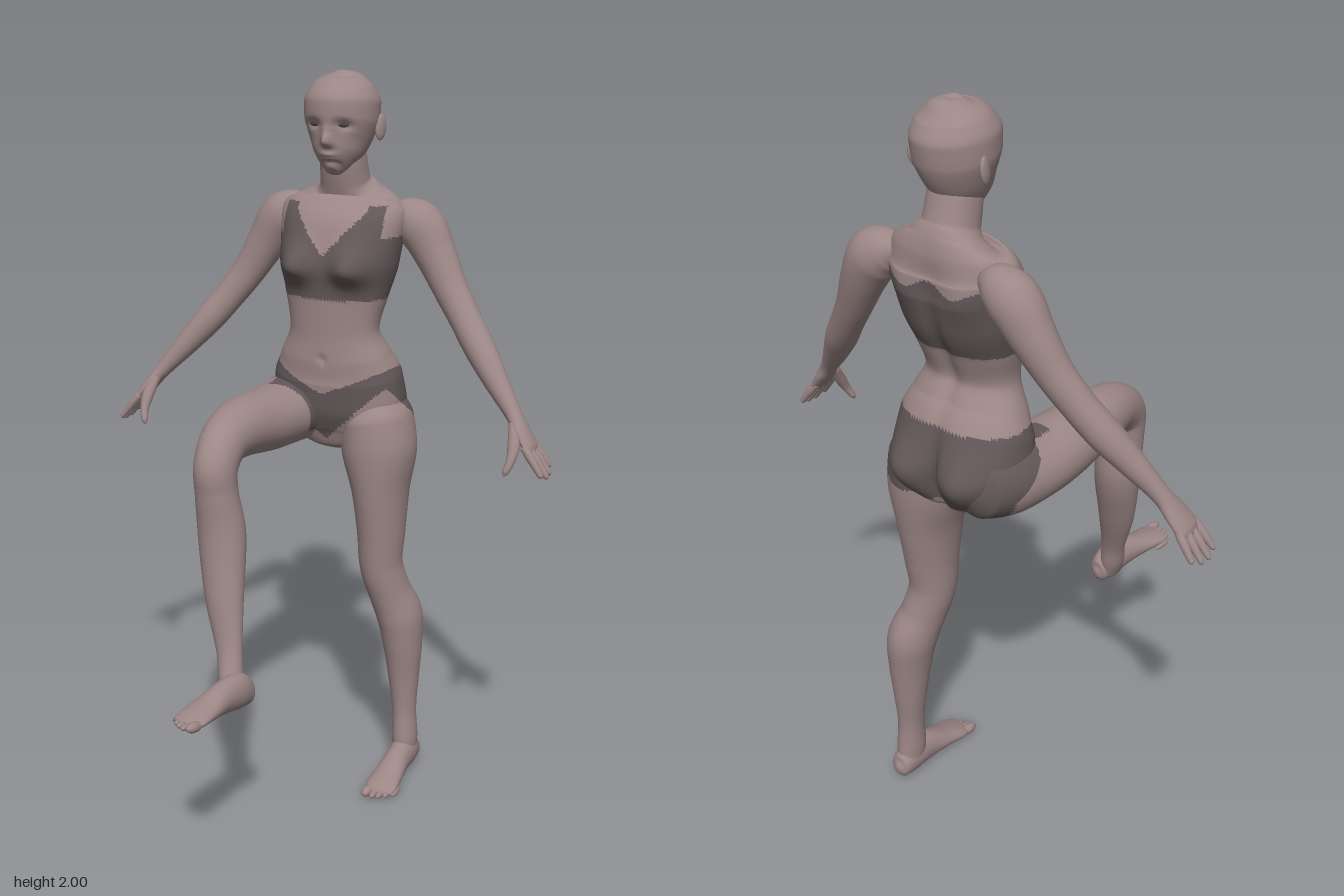
import * as THREE from 'three';

const skin = new THREE.MeshStandardMaterial({ color: 0x9c8786 });
skin.name = 'skin';
const cloth = new THREE.MeshStandardMaterial({ color: 0x625758 });
cloth.name = 'cloth';
const dark = new THREE.MeshStandardMaterial({ color: 0x4a3f40 });
dark.name = 'eyeDark';

const X = new THREE.Vector3(1, 0, 0), Z = new THREE.Vector3(0, 0, 1);

// Smooth closed skin through sections [x, y, z, halfSide, halfDepth]
function loft(name, sections, { side = X, segs = 28, steps = 6, power = 2, deform, isCloth } = {}) {
  const path = new THREE.CatmullRomCurve3(sections.map(s => new THREE.Vector3(s[0], s[1], s[2])));
  const size = new THREE.CatmullRomCurve3(sections.map(s => new THREE.Vector3(s[3], s[4], 0)));
  const rows = (sections.length - 1) * steps;
  const pts = [], idx = [];
  const pw = c => Math.sign(c) * Math.abs(c) ** (2 / power);
  for (let j = 0; j <= rows; j++) {
    const c = path.getPoint(j / rows), r = size.getPoint(j / rows), t = path.getTangent(j / rows);
    const u = side.clone().addScaledVector(t, -side.dot(t)).normalize();
    const w = t.clone().cross(u);
    for (let i = 0; i < segs; i++) {
      const a = i / segs * Math.PI * 2;
      const p = c.clone().addScaledVector(u, pw(Math.cos(a)) * r.x).addScaledVector(w, pw(Math.sin(a)) * r.y);
      if (deform) deform(p);
      pts.push(p);
    }
  }
  for (let j = 0; j < rows; j++) for (let i = 0; i < segs; i++) {
    const k = (i + 1) % segs, a = j * segs + i, b = j * segs + k;
    idx.push([a, b, a + segs], [b, b + segs, a + segs]);
  }
  // End caps
  const first = pts.length, last = first + 1, top = rows * segs;
  pts.push(path.getPoint(0), path.getPoint(1));
  for (let i = 0; i < segs; i++) {
    const k = (i + 1) % segs;
    idx.push([first, k, i], [last, top + i, top + k]);
  }
  // Sort faces into bare and clothed groups
  const bare = [], worn = [], mid = new THREE.Vector3();
  for (const f of idx) {
    mid.set(0, 0, 0);
    f.forEach(n => mid.addScaledVector(pts[n], 1 / 3));
    (isCloth && isCloth(mid) ? worn : bare).push(...f);
  }
  const g = new THREE.BufferGeometry().setFromPoints(pts);
  g.setIndex([...bare, ...worn]);
  if (worn.length) {
    g.addGroup(0, bare.length, 0);
    g.addGroup(bare.length, worn.length, 1);
  }
  g.computeVertexNormals();
  const m = new THREE.Mesh(g, worn.length ? [skin, cloth] : skin);
  m.name = name;
  return m;
}

function ball(name, mat, pos, scale) {
  const m = new THREE.Mesh(new THREE.SphereGeometry(1, 20, 14), mat);
  m.position.set(...pos);
  m.scale.set(...scale);
  m.name = name;
  return m;
}

// Soft swelling toward the front (dir 1) or back (dir -1)
function bump(v, x, y, sx, sy, amp, dir) {
  const d = (v.z + 0.345) * dir;
  if (d <= 0) return;
  v.z += dir * amp * Math.min(1, d / 0.05) * Math.exp(-(((v.x - x) / sx) ** 2) - ((v.y - y) / sy) ** 2);
}

// Outlines of the clothing
function inTop(p) {
  const a = Math.abs(p.x);
  if (p.y < 1.415) return false;
  if (p.z < -0.37) return p.y < 1.59 + 0.012 * Math.cos(a * 45);
  return p.y < (a < 0.1 ? 1.53 + a * 1.15 : a < 0.143 ? 1.66 : 1.58);
}
function inBriefs(p) {
  const a = Math.abs(p.x);
  const waist = p.z > -0.35 ? 1.155 + Math.min(a, 0.18) * 0.42 : 1.225;
  const leg = Math.min(1.02 + a * 0.95, 1.18 + (p.z + 0.28) * 0.95);
  return p.z < -0.215 && p.y < waist && p.y > leg;
}

function torso() {
  const rows = [ // y, half width, front z, back z
    [0.975, 0.02, -0.33, -0.37], [1.0, 0.09, -0.27, -0.43], [1.05, 0.15, -0.25, -0.455],
    [1.12, 0.19, -0.232, -0.465], [1.2, 0.182, -0.226, -0.452], [1.26, 0.155, -0.226, -0.42],
    [1.33, 0.126, -0.23, -0.395], [1.42, 0.144, -0.226, -0.42], [1.5, 0.163, -0.23, -0.452],
    [1.58, 0.172, -0.245, -0.466], [1.635, 0.178, -0.285, -0.465], [1.668, 0.15, -0.315, -0.458],
    [1.69, 0.1, -0.315, -0.45], [1.715, 0.066, -0.308, -0.437], [1.78, 0.06, -0.292, -0.42], [1.83, 0.05, -0.29, -0.41]];
  return loft('torso', rows.map(([y, w, f, b]) => [0, y, (f + b) / 2, w, (f - b) / 2]), {
    segs: 112, steps: 11, power: 2.2,
    isCloth: p => inTop(p) || inBriefs(p),
    deform: v => {
      for (const s of [-1, 1]) {
        bump(v, s * 0.083, 1.5, 0.055, v.y < 1.5 ? 0.042 : 0.06, 0.056, 1);
        bump(v, s * 0.095, s > 0 ? 1.09 : 1.1, 0.075, 0.08, 0.055, -1);
        bump(v, s * 0.09, 1.58, 0.05, 0.06, 0.012, -1);
      }
      bump(v, 0, 1.08, 0.02, 0.09, -0.03, -1);
      bump(v, 0, 1.4, 0.025, 0.16, -0.014, -1);
      bump(v, 0, 1.25, 0.01, 0.012, -0.008, 1);
    },
  });
}

function head() {
  const g = new THREE.Group();
  g.name = 'head';
  const rows = [ // y, half width, front z, back z
    [1.746, 0.015, -0.275, -0.3], [1.757, 0.036, -0.258, -0.34], [1.79, 0.064, -0.247, -0.385],
    [1.83, 0.083, -0.243, -0.425], [1.875, 0.098, -0.24, -0.449], [1.92, 0.1, -0.241, -0.455],
    [1.96, 0.084, -0.266, -0.437], [1.985, 0.055, -0.3, -0.407], [1.998, 0.02, -0.335, -0.37], [2.0, 0.003, -0.35, -0.356]];
  g.add(loft('skull', rows.map(([y, w, f, b]) => [0, y, (f + b) / 2, w, (f - b) / 2]), {
    segs: 72, steps: 9,
    deform: v => {
      bump(v, 0, 1.825, 0.014, v.y < 1.825 ? 0.011 : 0.03, 0.03, 1);
      bump(v, 0, 1.793, 0.022, 0.006, 0.009, 1);
      bump(v, 0, 1.781, 0.02, 0.006, 0.008, 1);
      bump(v, 0, 1.762, 0.02, 0.011, 0.006, 1);
      for (const s of [-1, 1]) bump(v, s * 0.042, 1.868, 0.021, 0.014, -0.013, 1);
    },
  }));
  for (const s of [-1, 1]) {
    const eye = ball('eye', dark, [s * 0.042, 1.869, -0.263], [0.014, 0.006, 0.004]);
    eye.rotation.y = s * 0.4;
    const ear = ball('ear', skin, [s * 0.1, 1.857, -0.37], [0.009, 0.034, 0.02]);
    ear.rotation.set(-0.15, s * -0.3, 0);
    g.add(eye, ear);
  }
  return g;
}

function arm(s) {
  const g = new THREE.Group();
  g.name = s > 0 ? 'leftArm' : 'rightArm';
  const add = (name, pts, opt) => g.add(loft(name, pts.map(p => [s * p[0], ...p.slice(1)]), { side: Z, ...opt }));
  add('armShape', [
    [0.125, 1.635, -0.41, 0.025, 0.025], [0.16, 1.625, -0.41, 0.05, 0.052], [0.205, 1.598, -0.41, 0.061, 0.066],
    [0.25, 1.53, -0.405, 0.054, 0.057], [0.3, 1.445, -0.39, 0.044, 0.047], [0.35, 1.375, -0.37, 0.041, 0.043],
    [0.4, 1.31, -0.345, 0.042, 0.042], [0.46, 1.235, -0.312, 0.034, 0.034], [0.525, 1.155, -0.28, 0.025, 0.022],
    [0.553, 1.118, -0.268, 0.035, 0.018], [0.583, 1.078, -0.257, 0.041, 0.014], [0.594, 1.062, -0.254, 0.028, 0.006]]);
  // Four fingers and a thumb
  for (let i = 0; i < 4; i++) {
    const z0 = -0.287 + i * 0.021, z1 = -0.298 + i * 0.029;
    const len = [0.82, 0.97, 1, 0.88][i];
    const at = (t, r) => [0.575 + 0.063 * t * len, 1.085 - 0.082 * t * len + 0.008 * t * (1 - t), z0 + (z1 - z0) * t, r, r];
    add('finger', [at(0, 0.01), at(0.35, 0.0115), at(0.7, 0.0095), at(0.95, 0.007), at(1, 0.002)], { segs: 12, steps: 4 });
  }
  add('thumb', [[0.535, 1.135, -0.255, 0.012, 0.012], [0.548, 1.09, -0.228, 0.017, 0.015],
    [0.548, 1.05, -0.205, 0.012, 0.012], [0.54, 1.022, -0.191, 0.009, 0.009], [0.536, 1.012, -0.187, 0.002, 0.002]], { side: X, segs: 14 });
  return g;
}

// Foot with its sole at y = 0, ankle over the origin, toes toward +z; s picks the big toe side
function foot(name, s) {
  const g = new THREE.Group();
  g.name = name;
  g.add(loft('footShape', [
    [0, 0.04, -0.06, 0.008, 0.01], [0, 0.04, -0.047, 0.028, 0.034], [0, 0.052, 0, 0.036, 0.05],
    [0, 0.048, 0.06, 0.036, 0.044], [0, 0.034, 0.125, 0.042, 0.028], [0, 0.022, 0.18, 0.046, 0.018],
    [0, 0.016, 0.205, 0.04, 0.013], [0, 0.014, 0.213, 0.02, 0.006]]));
  for (let i = 0; i < 5; i++) {
    const r = i ? 0.0095 : 0.014;
    g.add(ball('toe', skin, [-s * (0.03 - i * 0.017 - (i ? 0.003 : 0)), r + 0.002, 0.212 - i * i * 0.0022], [r, r, 0.028]));
  }
  return g;
}

function legs() {
  const g = new THREE.Group();
  g.name = 'legs';
  g.add(loft('standingLeg', [
    [0.1, 1.15, -0.345, 0.06, 0.07], [0.115, 1.08, -0.347, 0.098, 0.112], [0.125, 1.0, -0.343, 0.104, 0.113],
    [0.135, 0.865, -0.338, 0.077, 0.098], [0.14, 0.75, -0.335, 0.066, 0.08], [0.142, 0.65, -0.335, 0.06, 0.067],
    [0.16, 0.57, -0.352, 0.059, 0.066], [0.184, 0.49, -0.376, 0.064, 0.074], [0.195, 0.4, -0.381, 0.056, 0.064],
    [0.2, 0.3, -0.383, 0.045, 0.05], [0.206, 0.18, -0.381, 0.034, 0.04], [0.21, 0.1, -0.38, 0.036, 0.045],
    [0.21, 0.05, -0.383, 0.032, 0.045]], { segs: 56, steps: 10, isCloth: inBriefs }));
  g.add(loft('raisedLeg', [
    [-0.1, 1.1, -0.47, 0.03, 0.035], [-0.102, 1.096, -0.435, 0.08, 0.083], [-0.115, 1.09, -0.34, 0.105, 0.1],
    [-0.126, 1.085, -0.25, 0.106, 0.088], [-0.132, 1.088, -0.15, 0.097, 0.085], [-0.137, 1.1, 0, 0.077, 0.077],
    [-0.13, 1.085, 0.095, 0.062, 0.066], [-0.122, 1.04, 0.147, 0.056, 0.064], [-0.118, 0.975, 0.152, 0.056, 0.058],
    [-0.108, 0.87, 0.146, 0.064, 0.059], [-0.084, 0.7, 0.18, 0.053, 0.043], [-0.052, 0.56, 0.214, 0.035, 0.029],
    [-0.04, 0.5, 0.23, 0.033, 0.036], [-0.025, 0.455, 0.245, 0.03, 0.04]],
    { segs: 56, steps: 10, isCloth: p => inBriefs(p) || (p.z < -0.4 && p.y > 1.0) }));
  const standing = foot('standingFoot', 1);
  standing.position.set(0.212, 0, -0.382);
  const raised = foot('raisedFoot', -1);
  raised.position.set(-0.018, 0.422, 0.255);
  raised.rotation.set(-0.16, -0.15, 0, 'YXZ');
  g.add(standing, raised);
  return g;
}

export function createModel() {
  const model = new THREE.Group();
  model.name = 'figure';
  model.add(torso(), head(), arm(1), arm(-1), legs());
  return model;
}
